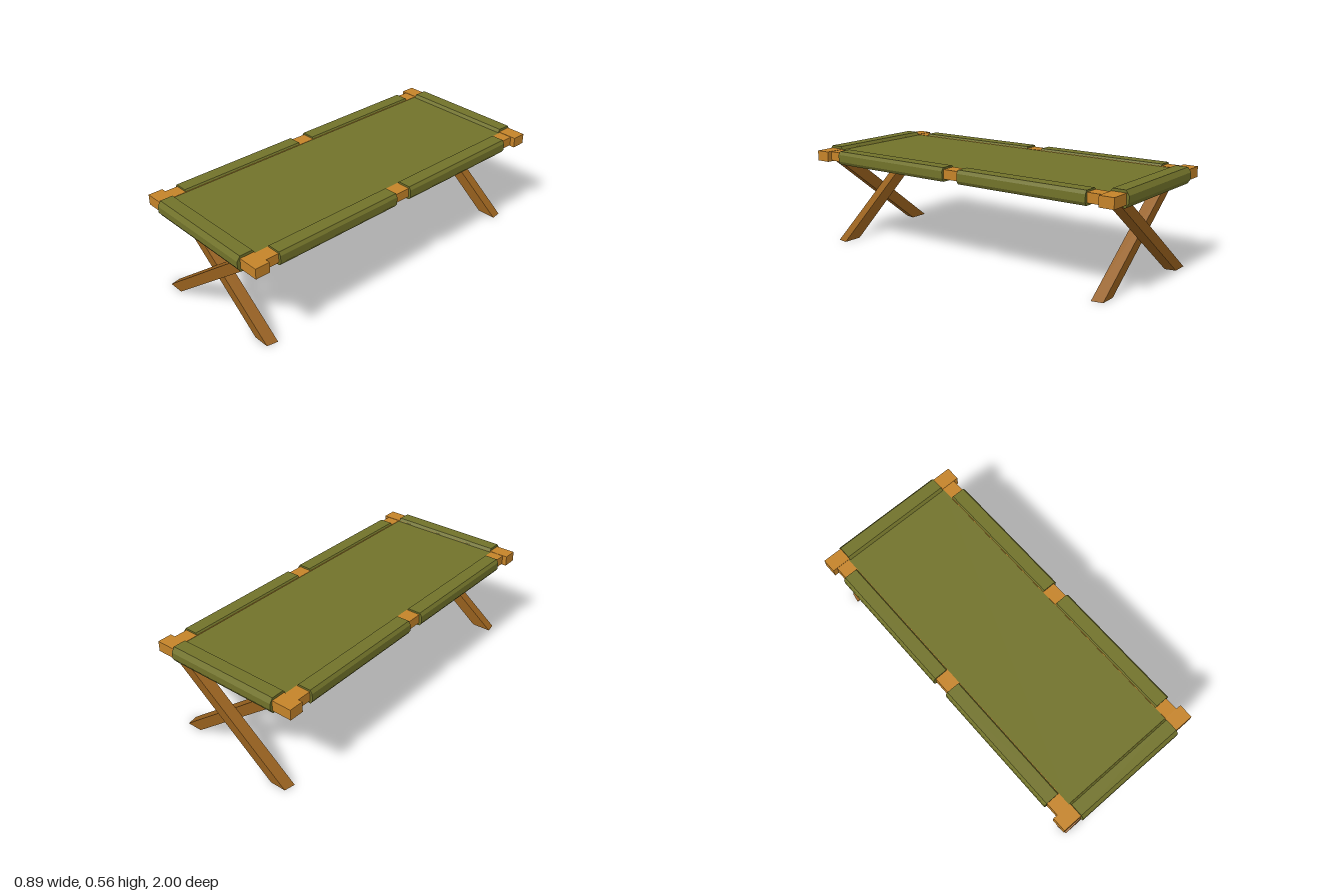
import * as THREE from 'three';

export function createModel() {
  const model = new THREE.Group();
  model.name = 'foldingCot';

  const mat = (name, color) => {
    const m = new THREE.MeshStandardMaterial({ color });
    m.name = name;
    return m;
  };
  const canvas = mat('oliveCanvas', 0x71722a);
  const railWood = mat('railWood', 0xc48329);
  const legWood = mat('legWood', 0x955f1d);

  const add = (name, geometry, material, x = 0, y = 0, z = 0) => {
    const mesh = new THREE.Mesh(geometry, material);
    mesh.name = name;
    mesh.position.set(x, y, z);
    model.add(mesh);
    return mesh;
  };

  // Canvas sleeve: a bar with an eight-sided section, running along z
  const sleeve = (w, h, length, cx, cy) => {
    const a = w / 2, b = h / 2;
    const points = [
      [-a + cx, -b], [a - cx, -b], [a, -b + cy], [a, b - cy],
      [a - cx, b], [-a + cx, b], [-a, b - cy], [-a, -b + cy],
    ].map(([x, y]) => new THREE.Vector2(x, y));
    const g = new THREE.ExtrudeGeometry(new THREE.Shape(points), { depth: length, bevelEnabled: false });
    return g.translate(0, 0, -length / 2);
  };

  // Slanted leg with level ends; the outward face is slightly narrower
  const leg = (lean, depth, narrowSide) => {
    const g = new THREE.BoxGeometry(1, 1, 1).toNonIndexed();
    const p = g.attributes.position;
    for (let i = 0; i < p.count; i++) {
      const top = p.getY(i) + 0.5;
      const side = Math.sign(p.getX(i));
      const half = Math.sign(p.getZ(i)) === narrowSide ? 0.046 : 0.057;
      p.setXYZ(i, lean * (0.64 * top - 0.329) + side * half, 0.488 * top, p.getZ(i) * depth);
    }
    g.computeVertexNormals();
    return g;
  };

  // Sleeping surface, filling the space between the rails
  add('canvasPanel', new THREE.BoxGeometry(0.684, 0.047, 1.81), canvas, -0.003, 0.5135, 0);

  // Long side rails with two sleeves each
  for (const s of [1, -1]) {
    add('sideRail', new THREE.BoxGeometry(0.08, 0.052, 1.82), railWood, s * 0.38 - 0.004, 0.513, 0);
    for (const e of [1, -1]) {
      add('sideSleeve', sleeve(0.098, 0.076, 0.775, 0.012, 0.018), canvas, s * 0.386 - 0.004, 0.511, e * 0.437);
    }
  }

  // End bars, end sleeves and crossed legs
  for (const e of [1, -1]) {
    add('endBar', new THREE.BoxGeometry(0.894, 0.058, 0.082), railWood, -0.003, 0.512, e * 0.943 - 0.002);
    const endSleeve = add('endSleeve', sleeve(0.108, 0.088, 0.667, 0.018, 0.026), canvas, -0.004, 0.511, e * 0.946);
    endSleeve.rotation.y = Math.PI / 2;
    add('outerLeg', leg(1, 0.06, e), legWood, 0.004, 0, e * 0.9345 - 0.0045);
    add('innerLeg', leg(-1, 0.062, e), legWood, 0.008, 0, e * 0.873 - 0.005);
  }
  return model;
}
